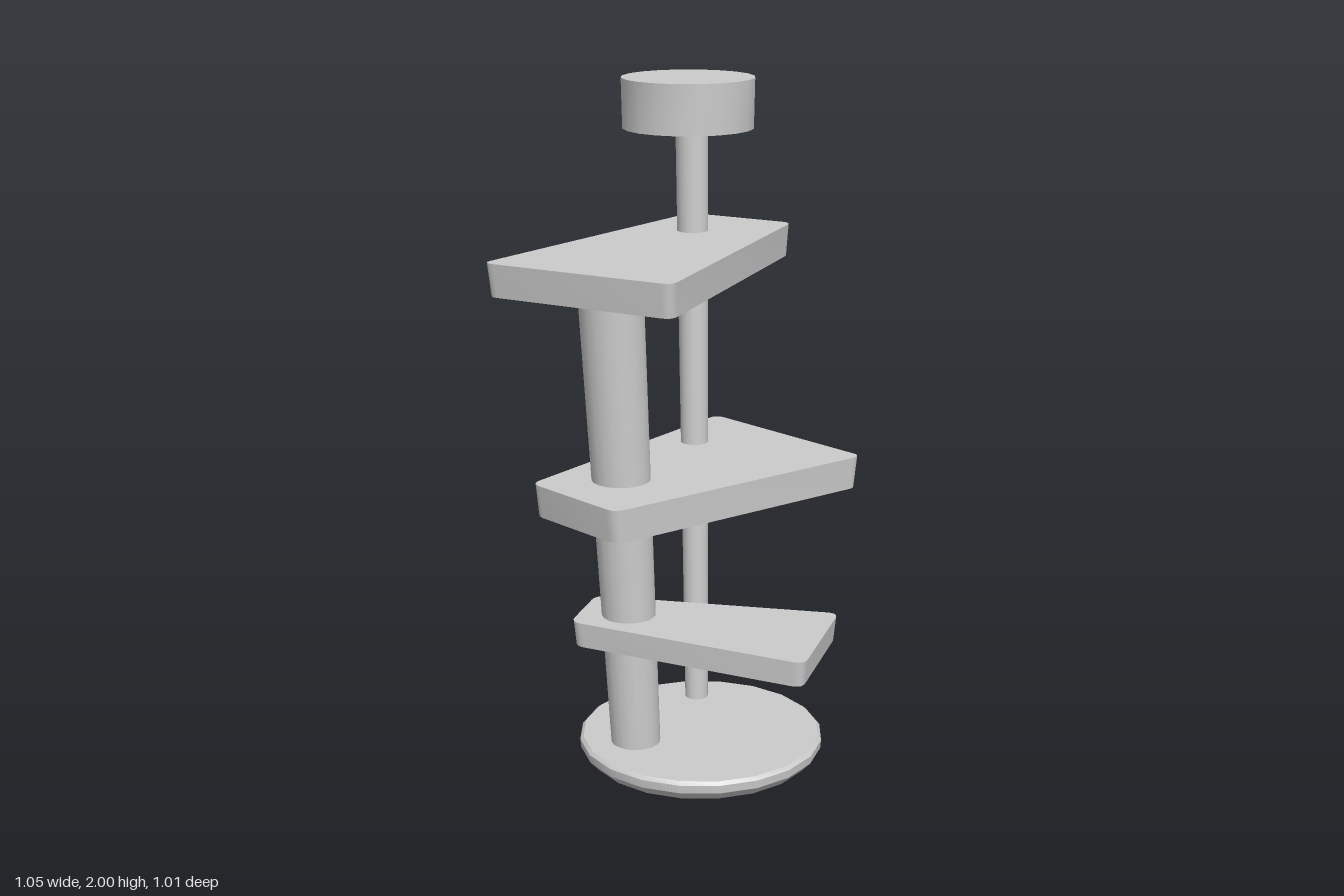
import * as THREE from 'three';
import { toCreasedNormals } from 'three/addons/utils/BufferGeometryUtils.js';

const SIDES = 20;
const material = new THREE.MeshStandardMaterial({ color: 0xcccccc });

function addPart(group, name, geometry) {
  const mesh = new THREE.Mesh(toCreasedNormals(geometry, 0.5), material);
  mesh.name = name;
  group.add(mesh);
  return mesh;
}

// Rounded four-cornered slab, slightly narrower underneath. Corners are [x, z].
function shelfGeometry(corners, y0, y1, round = 0.036, taper = 0.98) {
  const pts = corners.map(([x, z]) => new THREE.Vector2(x, -z));
  const shape = new THREE.Shape();
  pts.forEach((p, i) => {
    const towards = (q) => p.clone().add(q.clone().sub(p).setLength(round));
    const a = towards(pts[(i + 3) % 4]);
    const b = towards(pts[(i + 1) % 4]);
    if (i === 0) shape.moveTo(a.x, a.y);
    else shape.lineTo(a.x, a.y);
    shape.quadraticCurveTo(p.x, p.y, b.x, b.y);
  });
  shape.closePath();
  const geo = new THREE.ExtrudeGeometry(shape, { depth: y1 - y0, bevelEnabled: false, curveSegments: 5 });
  const mid = pts.reduce((s, p) => s.add(p), new THREE.Vector2()).divideScalar(4);
  const pos = geo.attributes.position;
  for (let i = 0; i < pos.count; i++) {
    if (pos.getZ(i) > 1e-5) continue;
    pos.setX(i, mid.x + (pos.getX(i) - mid.x) * taper);
    pos.setY(i, mid.y + (pos.getY(i) - mid.y) * taper);
  }
  return geo.rotateX(-Math.PI / 2).translate(0, y0, 0);
}

// Leaning, tapered post with level ends: a cylinder sheared between two centres.
function postGeometry(bottom, top, rBottom, rTop) {
  const h = top[1] - bottom[1];
  const geo = new THREE.CylinderGeometry(rTop, rBottom, h, SIDES);
  const pos = geo.attributes.position;
  for (let i = 0; i < pos.count; i++) {
    const t = pos.getY(i) / h + 0.5;
    pos.setXYZ(i,
      pos.getX(i) + THREE.MathUtils.lerp(bottom[0], top[0], t),
      pos.getY(i) + (bottom[1] + top[1]) / 2,
      pos.getZ(i) + THREE.MathUtils.lerp(bottom[2], top[2], t));
  }
  return geo;
}

export function createModel() {
  const model = new THREE.Group();
  model.name = 'shelfTower';

  // Round base with a sloped underside and a small top chamfer
  const profile = [[0, 0], [0.34, 0], [0.368, 0.03], [0.37, 0.055], [0.36, 0.065], [0, 0.065]]
    .map(([r, y]) => new THREE.Vector2(r, y));
  addPart(model, 'base', new THREE.LatheGeometry(profile, SIDES)).position.set(0.01, 0, -0.015);

  // Posts
  addPart(model, 'thickPost', postGeometry([-0.184, 0.06, -0.097], [-0.235, 1.48, -0.13], 0.074, 0.095));
  addPart(model, 'thinPost', postGeometry([0.175, 0.06, -0.203], [0.236, 1.87, -0.285], 0.036, 0.049));

  // Shelves, each fanned in a different direction
  addPart(model, 'lowerShelf', shelfGeometry(
    [[-0.365, -0.178], [-0.105, 0.515], [0.247, 0.327], [-0.172, -0.285]], 0.4, 0.475));
  addPart(model, 'middleShelf', shelfGeometry(
    [[-0.428, -0.265], [-0.428, 0.093], [0.457, 0.222], [0.457, -0.4]], 0.797, 0.895));
  addPart(model, 'upperShelf', shelfGeometry(
    [[-0.533, -0.327], [-0.355, 0.25], [0.53, -0.148], [0.425, -0.487]], 1.45, 1.547));

  // Round perch on the thin post
  addPart(model, 'perch', new THREE.CylinderGeometry(0.201, 0.198, 0.15, SIDES))
    .position.set(0.243, 1.925, -0.307);

  return model;
}
